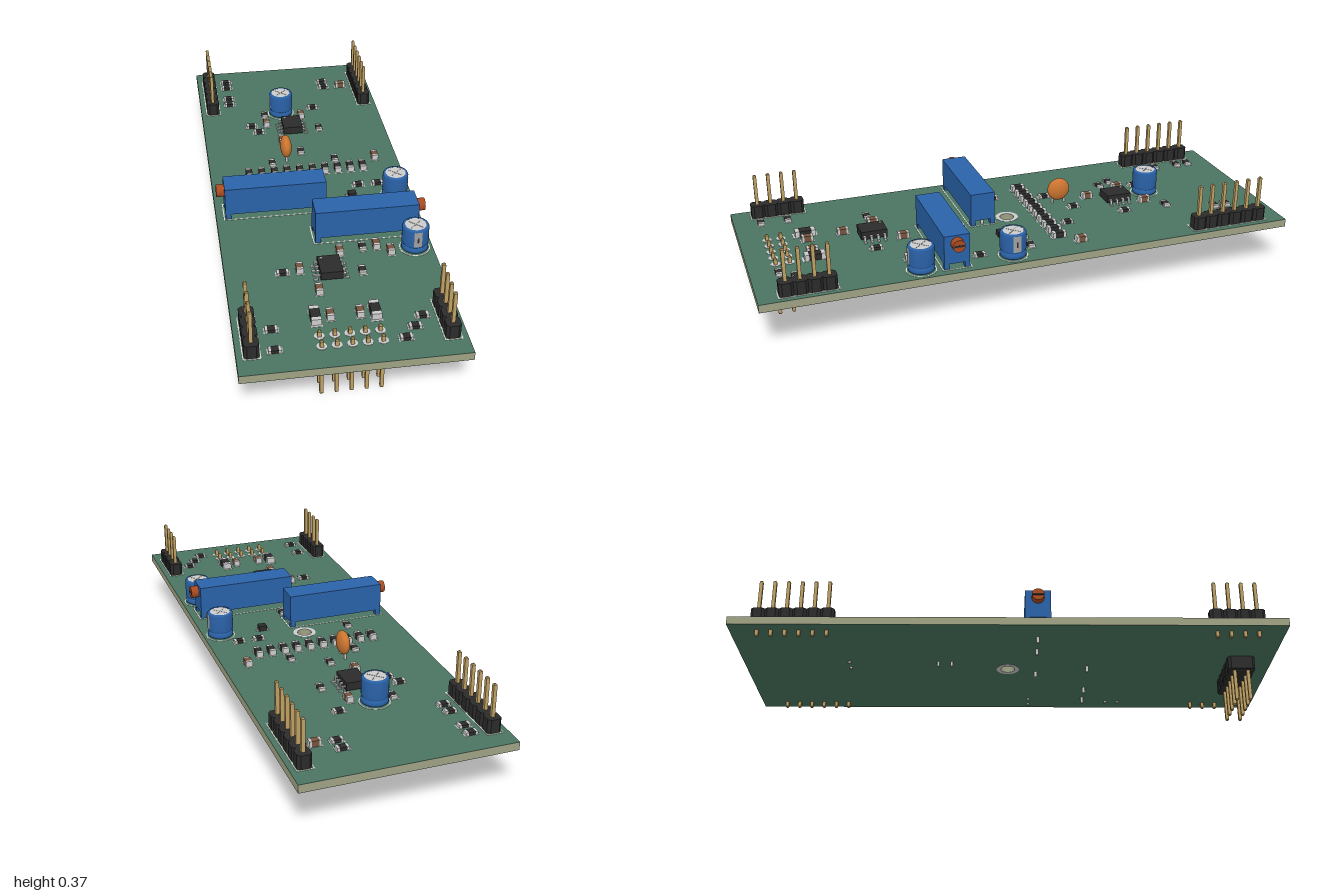
import * as THREE from 'three';

const TOP = 0.2, BOTTOM = 0.17;
const mat = (color, flatShading = false) => new THREE.MeshStandardMaterial({ color, flatShading });
const green = mat(0x4b7561), core = mat(0x9fa283), black = mat(0x2b2b2b), metal = mat(0xcccccc),
  gold = mat(0xbfa064, true), blue = mat(0x2a62a8), rust = mat(0xa84a20), orange = mat(0xcc7530),
  brown = mat(0x75543f), white = mat(0xd8d8d0), stripeGrey = mat(0xa0a0a0);

function add(parent, name, geo, material, x = 0, y = 0, z = 0) {
  const m = new THREE.Mesh(geo, material);
  m.name = name;
  m.position.set(x, y, z);
  parent.add(m);
  return m;
}
const box = (parent, name, w, h, d, material, x, y, z) =>
  add(parent, name, new THREE.BoxGeometry(w, h, d), material, x, y, z);
function group(parent, name, x = 0, y = 0, z = 0) {
  const g = new THREE.Group();
  g.name = name;
  g.position.set(x, y, z);
  parent.add(g);
  return g;
}
const lathe = (pts, n) => new THREE.LatheGeometry(pts.map(p => new THREE.Vector2(...p)), n);

// Horizontal slab cut from an outline, lying between y0 and y1
function slab(shape, y0, y1) {
  const g = new THREE.ExtrudeGeometry(shape, { depth: y1 - y0, bevelEnabled: false, curveSegments: 24 });
  return g.rotateX(-Math.PI / 2).translate(0, y0, 0);
}
function rectShape(w, d) {
  return new THREE.Shape([[-1, -1], [1, -1], [1, 1], [-1, 1]].map(([a, b]) => new THREE.Vector2(a * w / 2, b * d / 2)));
}
function ringShape(r, hole) {
  const s = new THREE.Shape().absarc(0, 0, r, 0, Math.PI * 2);
  s.holes.push(new THREE.Path().absarc(0, 0, hole, 0, Math.PI * 2, true));
  return s;
}
function frameShape(w, d, t) {
  const s = rectShape(w, d);
  s.holes.push(new THREE.Path(rectShape(w - 2 * t, d - 2 * t).getPoints().reverse()));
  return s;
}
// Square outline with clipped corners for one header cell
function cellShape(w, d, c) {
  const a = w / 2, b = d / 2;
  return new THREE.Shape([[-a + c, -b], [a - c, -b], [a, -b + c], [a, b - c], [a - c, b], [-a + c, b], [-a, b - c], [-a, -b + c]]
    .map(p => new THREE.Vector2(...p)));
}

// Square pin with tapered ends
function pin(parent, x, z, y0, y1) {
  const r = 0.0088, t = 0.0045, c = 0.004;
  const geo = lathe([[0, y0], [t, y0], [r, y0 + c], [r, y1 - c], [t, y1], [0, y1]], 4).rotateY(Math.PI / 4);
  add(parent, 'pin', geo, gold, x, 0, z);
}

// Upright single-row header along z
function header(parent, x, z0, count) {
  const g = group(parent, 'pinHeader');
  for (let i = 0; i < count; i++) {
    const z = z0 + i * 0.05;
    add(g, 'headerCell', slab(cellShape(0.05, 0.05, 0.01), TOP, 0.25), black, x, 0, z);
    pin(g, x, z, 0.145, 0.37);
  }
  add(g, 'headerOutline', slab(frameShape(0.06, count * 0.05 + 0.01, 0.004), TOP, 0.2012), white, x, 0, z0 + (count - 1) * 0.025);
}

// Multi-turn trimmer; dir is the side its screw points to
function trimmer(parent, z, dir) {
  const g = group(parent, 'trimmer', 0, 0, z);
  const cx = dir * 0.1525;
  box(g, 'trimmerBody', 0.375, 0.108, 0.094, blue, cx, 0.274, 0);
  for (const sx of [-1, 1]) for (const sz of [-1, 1])
    box(g, 'foot', 0.02, 0.022, 0.018, blue, cx + sx * 0.1775, 0.211, sz * 0.038);
  const screw = add(g, 'screw', new THREE.CylinderGeometry(0.023, 0.023, 0.03, 24), rust, dir * 0.354, 0.298, 0);
  screw.rotation.z = Math.PI / 2;
  box(g, 'screwSlot', 0.002, 0.007, 0.04, black, dir * 0.3688, 0.298, 0);
  for (const [px, pz] of [[0.275, 0], [0.175, 0], [-0.025, 0]])
    add(g, 'lead', new THREE.CylinderGeometry(0.006, 0.006, 0.075, 10), metal, dir * px, 0.185, pz);
  add(g, 'trimmerOutline', slab(frameShape(0.39, 0.108, 0.004), TOP, 0.2012), white, cx, 0, 0);
}

// Electrolytic can; angle turns its stripe (0 faces +z)
function canCapacitor(parent, x, z, angle) {
  const g = group(parent, 'canCapacitor', x, 0, z);
  g.rotation.y = angle;
  const r = 0.048;
  add(g, 'sleeve', lathe([[0, 0.202], [0.043, 0.202], [r, 0.207], [r, 0.218], [0.044, 0.224], [0.044, 0.227],
    [r, 0.233], [r, 0.294], [0.045, 0.3], [0.038, 0.3]], 32), blue);
  add(g, 'canTop', new THREE.CylinderGeometry(0.038, 0.038, 0.004, 32), metal, 0, 0.2975, 0);
  for (const a of [Math.PI / 4, -Math.PI / 4])
    box(g, 'ventLine', 0.06, 0.001, 0.004, stripeGrey, 0, 0.2997, 0).rotation.y = a;
  const band = new THREE.CylinderGeometry(r + 0.0006, r + 0.0006, 0.062, 8, 1, true, -0.3, 0.6);
  add(g, 'stripe', band, stripeGrey, 0, 0.264, 0);
  const mark = new THREE.CylinderGeometry(r + 0.0012, r + 0.0012, 0.022, 4, 1, true, -0.06, 0.12);
  add(g, 'minusMark', mark, black, 0, 0.262, 0);
  for (const s of [-1, 1])
    add(g, 'lead', new THREE.CylinderGeometry(0.005, 0.005, 0.045, 10), metal, 0, 0.185, s * 0.025);
  add(g, 'canOutline', slab(ringShape(0.055, 0.051), TOP, 0.2012), white);
}

// Eight-lead chip with bent legs
function chip(parent, x, z) {
  const g = group(parent, 'chip', x, 0, z);
  box(g, 'chipBody', 0.078, 0.03, 0.098, black, 0, 0.222, 0);
  for (const s of [-1, 1]) for (let i = 0; i < 4; i++) {
    const lz = (i - 1.5) * 0.025;
    box(g, 'legTop', 0.012, 0.004, 0.009, metal, s * 0.043, 0.22, lz);
    box(g, 'legDrop', 0.004, 0.02, 0.009, metal, s * 0.049, 0.212, lz);
    box(g, 'legFoot', 0.014, 0.004, 0.009, metal, s * 0.055, 0.203, lz);
  }
  add(g, 'pinOneDot', new THREE.CylinderGeometry(0.005, 0.005, 0.001, 12), stripeGrey, -0.026, 0.2372, -0.036);
}

// Two-terminal surface part lying along z, or along x when turned
function chipPart(parent, name, x, z, turned, body, len, wide, tall) {
  const g = group(parent, name, x, TOP, z);
  if (turned) g.rotation.y = Math.PI / 2;
  box(g, 'body', wide * 0.98, tall * 0.96, len * 0.62, body, 0, tall * 0.5, 0);
  for (const s of [-1, 1]) {
    box(g, 'terminal', wide, tall, len * 0.2, metal, 0, tall / 2, s * len * 0.4);
    box(g, 'pad', wide * 1.15, 0.001, len * 0.34, metal, 0, 0.0005, s * len * 0.43);
  }
}

export function createModel() {
  const model = new THREE.Group();
  model.name = 'circuitBoard';

  // Board with central mounting hole and coloured faces
  const outline = rectShape(0.75, 2);
  outline.holes.push(new THREE.Path().absarc(0, 0, 0.027, 0, Math.PI * 2, true));
  add(model, 'boardCore', slab(outline, BOTTOM + 0.001, TOP - 0.001), core);
  add(model, 'topMask', slab(outline, TOP - 0.001, TOP), green);
  add(model, 'bottomMask', slab(outline, BOTTOM, BOTTOM + 0.001), green);
  for (const y of [BOTTOM - 0.001, TOP])
    add(model, 'holeRing', slab(ringShape(0.043, 0.027), y, y + 0.001), metal);

  // Edge headers
  for (const x of [-0.325, 0.325]) {
    header(model, x, -0.9, 6);
    header(model, x, 0.75, 4);
  }

  // Double-row header under the board
  const lower = group(model, 'lowerHeader');
  for (let i = 0; i < 5; i++) {
    const x = (i - 2) * 0.05;
    add(lower, 'headerCell', slab(cellShape(0.05, 0.1, 0.01), 0.12, BOTTOM), black, x, 0, 0.875);
    for (const z of [0.85, 0.9]) {
      pin(lower, x, z, 0, 0.225);
      add(lower, 'pinPad', slab(ringShape(0.017, 0.006), TOP, 0.2012), metal, x, 0, z);
    }
  }

  trimmer(model, 0.1075, -1);
  trimmer(model, 0.3025, 1);
  canCapacitor(model, -0.04, -0.6, -Math.PI / 2);
  canCapacitor(model, 0.31, 0.085, Math.PI / 2);
  canCapacitor(model, 0.31, 0.425, 0);
  chip(model, -0.012, -0.46);
  chip(model, -0.012, 0.525);

  // Dipped disc capacitor
  const disc = group(model, 'discCapacitor', -0.065, 0, -0.238);
  add(disc, 'discBody', new THREE.SphereGeometry(0.045, 28, 18).scale(0.5, 1, 1), orange, 0, 0.255, 0);
  for (const s of [-1, 1])
    add(disc, 'lead', new THREE.CylinderGeometry(0.005, 0.005, 0.08, 10), metal, 0, 0.19, s * 0.025);

  // Resistors: [x, z, lies along x]
  const resistors = [[-0.25, -0.9, 1], [-0.25, -0.85, 1], [-0.25, -0.75, 1], [-0.25, -0.7, 1], [0.175, -0.85, 1],
    [0.175, -0.8, 1], [0.1, -0.625, 1], [-0.112, -0.585, 0], [-0.175, -0.5, 1], [-0.15, -0.45, 1], [0.1, -0.45, 0],
    [0, -0.275, 0], [-0.125, -0.2, 0], [0.125, -0.2, 0], [-0.175, 0, 0], [0.185, 0, 1], [0.26, 0, 1], [0.025, 0.2, 0],
    [0.275, 0.2, 0], [0.125, 0.4, 0], [-0.175, 0.51, 1], [0.1, 0.535, 0], [-0.25, 0.8, 1], [-0.25, 0.9, 1],
    [0.25, 0.8, 1], [0.215, 0.85, 1], [0.175, 0.9, 1]];
  for (const [x, z, t] of resistors) chipPart(model, 'resistor', x, z, t, black, 0.042, 0.025, 0.012);
  for (let i = 0; i < 10; i++)
    chipPart(model, 'diode', -0.225 + i * 0.05, -0.125, 0, black, 0.052, 0.025, 0.022);

  // Ceramic capacitors
  const ceramics = [[0.25, -0.8, 1], [-0.112, -0.51, 0], [0.04, -0.56, 0], [-0.065, -0.36, 0], [0.285, -0.19, 0],
    [0.04, 0.42, 0], [0.175, 0.4, 0], [0.22, 0.44, 0], [-0.115, 0.5, 0], [-0.065, 0.625, 0], [-0.05, 0.76, 0], [0.05, 0.76, 0]];
  for (const [x, z, t] of ceramics) chipPart(model, 'ceramicCapacitor', x, z, t, brown, 0.042, 0.025, 0.023);
  for (const x of [-0.1, 0.1]) chipPart(model, 'powerDiode', x, 0.76, 0, black, 0.075, 0.034, 0.024);

  // Three-lead transistor
  const tr = group(model, 'transistor', 0.147, TOP, 0.075);
  box(tr, 'body', 0.03, 0.02, 0.028, black, 0, 0.012, 0);
  for (const [x, z] of [[-0.018, -0.009], [-0.018, 0.009], [0.018, 0]])
    box(tr, 'leg', 0.012, 0.006, 0.008, metal, x, 0.003, z);
  return model;
}
